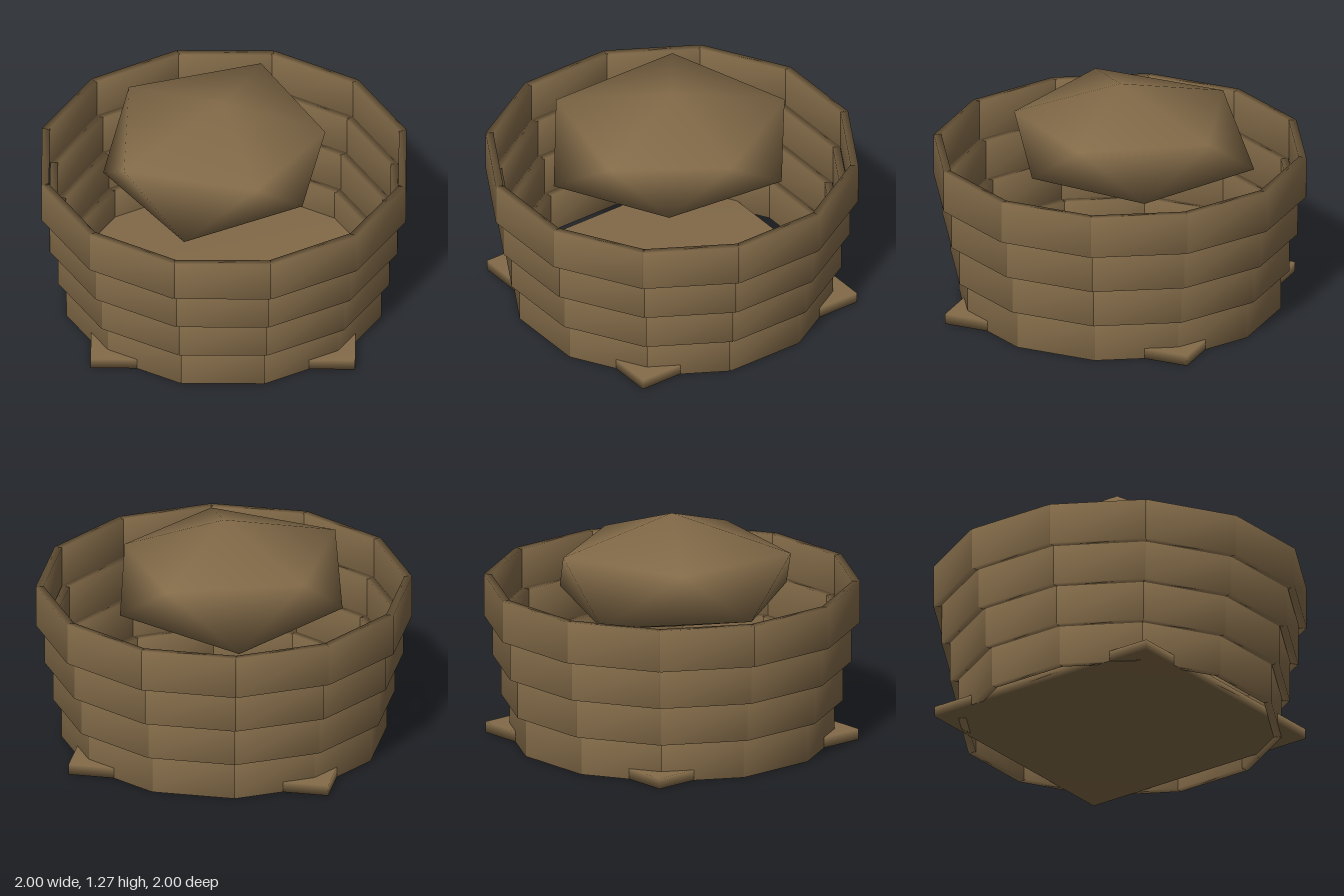
import * as THREE from 'three';
import { mergeVertices } from 'three/addons/utils/BufferGeometryUtils.js';

// Box whose corners share one averaged normal, for a soft, worn look
function softBox(w, h, d) {
  const box = new THREE.BoxGeometry(w, h, d);
  box.deleteAttribute('normal');
  box.deleteAttribute('uv');
  const geometry = mergeVertices(box);
  geometry.computeVertexNormals();
  return geometry;
}

// Flattened, uneven twenty-sided stone: apex, five upper, five lower corners, bottom
function stoneGeometry() {
  const upper = [[0.556, 1.08, 0], [0.182, 1.085, 0.555], [-0.545, 1.09, 0.39], [-0.525, 1.1, -0.385], [0.198, 1.095, -0.62]];
  const lower = [[0.433, 0.82, 0.335], [-0.214, 0.8, 0.647], [-0.663, 0.8, 0], [-0.225, 0.8, -0.706], [0.508, 0.82, -0.374]];
  const points = [[0, 1.275, 0], ...upper, ...lower, [0, 0.625, 0]];
  const index = [];
  for (let i = 0; i < 5; i++) {
    const j = (i + 1) % 5;
    const u = 1 + i, un = 1 + j, l = 6 + i, ln = 6 + j;
    index.push(0, un, u, u, un, l, l, un, ln, 11, l, ln);
  }
  const geometry = new THREE.BufferGeometry();
  geometry.setAttribute('position', new THREE.Float32BufferAttribute(points.flat(), 3));
  geometry.setIndex(index);
  geometry.computeVertexNormals();
  return geometry;
}

export function createModel() {
  const model = new THREE.Group();
  model.name = 'stoneWell';
  const brown = new THREE.MeshStandardMaterial({ color: 0x826a48 });
  brown.name = 'earthBrown';

  // Square slab under the wall
  const base = new THREE.Mesh(softBox(1.452, 0.06, 1.452), brown);
  base.name = 'basePlate';
  base.position.y = 0.03;
  model.add(base);

  // Four rings of twelve blocks, each ring wider than the one below
  const height = 0.235, depth = 0.042;
  for (let row = 0; row < 4; row++) {
    const ring = new THREE.Group();
    ring.name = 'wallRing' + (row + 1);
    const outer = 0.865 + row * 0.045;
    const block = softBox(outer * 0.529, height, depth);
    for (let i = 0; i < 12; i++) {
      const angle = (i * Math.PI) / 6;
      const mesh = new THREE.Mesh(block, brown);
      mesh.name = 'wallBlock';
      const r = outer - depth / 2;
      mesh.position.set(Math.sin(angle) * r, height / 2 + row * 0.2233, Math.cos(angle) * r);
      mesh.rotation.y = angle;
      ring.add(mesh);
    }
    model.add(ring);
  }

  // Large stone inside the wall
  const stone = new THREE.Mesh(stoneGeometry(), brown);
  stone.name = 'centreStone';
  model.add(stone);

  return model;
}
